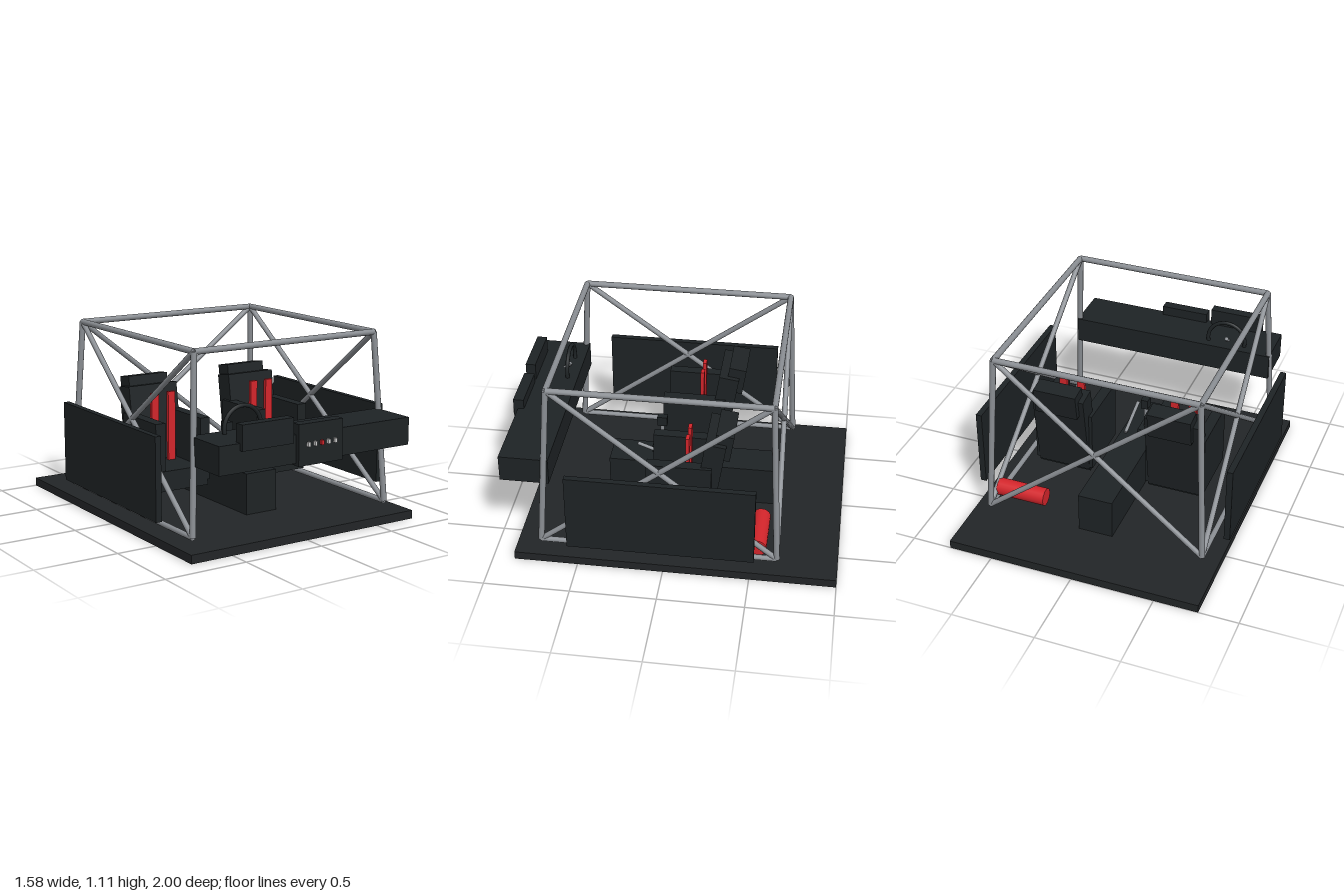
import * as THREE from 'three';

const paint = (color) => new THREE.MeshStandardMaterial({ color });

export function createModel() {
  const model = new THREE.Group();
  model.name = 'strippedCarInterior';
  const dark = paint(0x1e2325), floorMat = paint(0x222527);
  const steel = paint(0x8a8e93), red = paint(0xd4252b), light = paint(0xd8d8d8);

  const add = (parent, name, geometry, material) => {
    const mesh = new THREE.Mesh(geometry, material);
    mesh.name = name;
    parent.add(mesh);
    return mesh;
  };
  // Box given by its lowest and highest corners
  const box = (parent, name, [x0, y0, z0], [x1, y1, z1], material = dark) => {
    const mesh = add(parent, name, new THREE.BoxGeometry(x1 - x0, y1 - y0, z1 - z0), material);
    mesh.position.set((x0 + x1) / 2, (y0 + y1) / 2, (z0 + z1) / 2);
    return mesh;
  };
  // Round bar between two points
  const bar = (parent, name, from, to, radius, material = steel, sides = 12) => {
    const a = new THREE.Vector3(...from), b = new THREE.Vector3(...to);
    const dir = b.clone().sub(a);
    const mesh = add(parent, name, new THREE.CylinderGeometry(radius, radius, dir.length(), sides), material);
    mesh.position.copy(a).add(b).multiplyScalar(0.5);
    mesh.quaternion.setFromUnitVectors(new THREE.Vector3(0, 1, 0), dir.normalize());
    return mesh;
  };

  // Floor and centre tunnel
  box(model, 'floor', [-0.763, 0, -1], [0.763, 0.05, 0.873], floorMat);
  box(model, 'tunnel', [-0.105, 0.05, -0.625], [0.105, 0.295, 0.42]);

  // Door panels
  for (const s of [-1, 1]) {
    const door = box(model, s > 0 ? 'leftDoor' : 'rightDoor', [-0.018, 0.15, -0.525], [0.018, 0.63, 0.552]);
    door.position.x = s * 0.77;
  }

  // Roll cage
  const cage = new THREE.Group();
  cage.name = 'rollCage';
  model.add(cage);
  const r = 0.018;
  const top = (s, front) => [s * 0.612, 1.093, front ? 0.665 : -0.597];
  const low = (s, front) => [s * 0.665, 0.09, front ? 0.73 : -0.65];
  for (const s of [-1, 1]) {
    bar(cage, 'frontPillar', low(s, true), top(s, true), r);
    bar(cage, 'rearPillar', low(s, false), top(s, false), r);
    bar(cage, 'roofRail', top(s, true), top(s, false), r);
    bar(cage, 'sillRail', low(s, true), low(s, false), r * 0.9);
    bar(cage, 'sideBrace', top(s, true), low(s, false), r * 0.9);
    bar(cage, 'sideBrace', low(s, true), top(s, false), r * 0.9);
    bar(cage, 'rearBrace', top(s, false), low(-s, false), r * 0.9);
  }
  for (const front of [true, false]) bar(cage, 'roofCrossbar', top(-1, front), top(1, front), r);

  // Dashboard with instrument hood, switch panel and switches
  const dash = new THREE.Group();
  dash.name = 'dashboard';
  model.add(dash);
  box(dash, 'dashBeam', [-0.643, 0.48, 0.67], [0.643, 0.64, 0.957]);
  box(dash, 'instrumentHood', [-0.513, 0.6, 0.92], [-0.182, 0.743, 0.98]);
  box(dash, 'switchPanel', [-0.15, 0.467, 0.92], [0.147, 0.7, 0.983]);
  for (let i = -2; i <= 2; i++) {
    const x = i * 0.045;
    box(dash, 'switch', [x - 0.008, 0.573, 0.98], [x + 0.008, 0.598, 1], i === 0 ? red : light);
  }

  // Steering wheel and column
  const wheel = add(model, 'steeringWheel', new THREE.TorusGeometry(0.12, 0.012, 10, 36), dark);
  wheel.position.set(-0.345, 0.665, 0.733);
  bar(model, 'steeringColumn', [-0.345, 0.67, 0.735], [-0.345, 0.61, 0.8], 0.012);

  // Bucket seats with harness straps
  for (const s of [-1, 1]) {
    const seat = new THREE.Group();
    seat.name = s > 0 ? 'leftSeat' : 'rightSeat';
    seat.position.x = s * 0.352;
    model.add(seat);
    box(seat, 'cushion', [-0.165, 0.18, -0.24], [0.165, 0.3, 0.135]);
    const back = box(seat, 'backrest', [-0.163, 0.2, -0.29], [0.163, 0.74, -0.17]);
    back.rotation.x = -0.15;
    const head = box(seat, 'headrest', [-0.132, 0.625, -0.36], [0.132, 0.79, -0.256]);
    head.rotation.x = -0.15;
    for (const t of [-1, 1]) {
      const bolster = box(seat, 'bolster', [-0.032, 0.21, -0.25], [0.032, 0.585, 0.128]);
      bolster.position.x = t * 0.151;
      const strap = box(seat, 'harnessStrap', [-0.024, 0.27, -0.11], [0.024, 0.715, -0.088], red);
      strap.position.x = t * 0.056;
    }
  }

  // Gear lever
  box(model, 'gearLeverBase', [-0.072, 0.295, 0.065], [0, 0.333, 0.172]);
  bar(model, 'gearLever', [-0.037, 0.33, 0.115], [-0.037, 0.5, 0.115], 0.012);
  box(model, 'gearKnob', [-0.059, 0.48, 0.083], [-0.015, 0.54, 0.143]);

  // Handbrake
  bar(model, 'handbrake', [0.065, 0.315, 0.03], [0.065, 0.398, 0.25], 0.011);

  // Fire extinguisher
  bar(model, 'extinguisher', [0.352, 0.147, -0.535], [0.655, 0.147, -0.535], 0.053, red, 20);

  return model;
}
